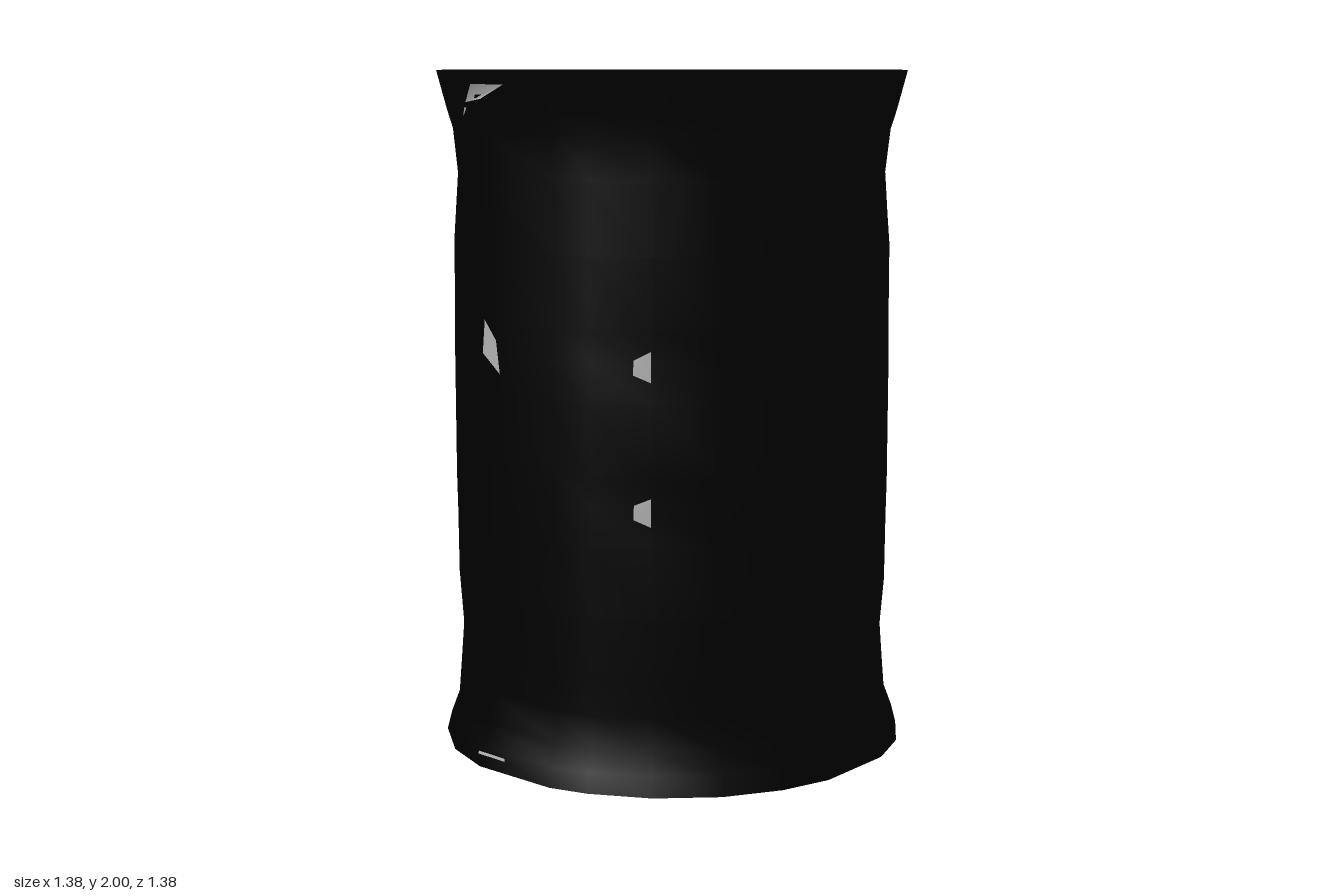
import * as THREE from 'three';
import { toCreasedNormals } from 'three/addons/utils/BufferGeometryUtils.js';

// Uneven facet angles (degrees from the front) for one half turn
const HALF_ANGLES = [2.3, 12.3, 27.8, 44, 59, 72.3, 95, 109.5, 125.3, 143, 158.4];
const ANGLES = [...HALF_ANGLES, ...HALF_ANGLES.map((a) => a + 180)];

// Outer wall: [radius, height] from the bottom rim to the top rim
const WALL = [
  [0.69, 0.005], [0.676, 0.06], [0.652, 0.125], [0.648, 0.22], [0.648, 0.34], [0.648, 0.5], [0.648, 0.7],
  [0.65, 0.8], [0.65, 0.9], [0.65, 1.1], [0.65, 1.2], [0.648, 1.3], [0.648, 1.5], [0.648, 1.7],
  [0.65, 1.83], [0.664, 1.885], [0.693, 1.998],
];
// Recessed ends with a shallow ring
const BOTTOM = [[0, 0.1], [0.25, 0.1], [0.265, 0.092], [0.28, 0.1], [0.6, 0.1], [0.615, 0.065], [0.665, 0]];
const TOP = [[0.67, 2], [0.615, 1.94], [0.6, 1.91], [0.29, 1.91], [0.28, 1.918], [0.265, 1.91], [0, 1.91]];

// Soft dents in the wall: [angle, angle spread, height, height spread, depth], repeated half a turn round
const DENTS = [
  [27.8, 8, 1.2, 0.1, 0.02], [27.8, 8, 0.8, 0.1, 0.02],
  [115, 22, 1.7, 0.11, 0.018], [115, 22, 0.34, 0.11, 0.016],
];
const dentDepth = (angle, y) => DENTS.reduce((sum, [a, da, h, dh, depth]) =>
  sum + depth * Math.exp(-((((angle % 180) - a) / da) ** 2) - ((y - h) / dh) ** 2), 0);

// Turn a profile, then move each column of vertices to its uneven angle
function turned(profile, name, material, dent = () => 0) {
  const geo = new THREE.LatheGeometry(profile.map(([r, y]) => new THREE.Vector2(r, y)), ANGLES.length);
  const pos = geo.attributes.position;
  for (let k = 0; k < pos.count; k++) {
    const angle = ANGLES[Math.floor(k / profile.length) % ANGLES.length];
    const a = THREE.MathUtils.degToRad(angle);
    const [r0, y] = profile[k % profile.length];
    const r = r0 - dent(angle, y);
    pos.setX(k, r * Math.sin(a));
    pos.setZ(k, r * Math.cos(a));
  }
  const mesh = new THREE.Mesh(toCreasedNormals(geo, 0.6), material);
  mesh.name = name;
  return mesh;
}

// Flat outline dropped onto the front of the wall
function chip(outline, name, material, wall) {
  const geo = new THREE.ShapeGeometry(new THREE.Shape(outline.map(([x, y]) => new THREE.Vector2(x, y))));
  const pos = geo.attributes.position;
  const inward = new THREE.Vector3(0, 0, -1);
  for (let k = 0; k < pos.count; k++) {
    const ray = new THREE.Raycaster(new THREE.Vector3(pos.getX(k), pos.getY(k), 2), inward);
    pos.setZ(k, ray.intersectObject(wall)[0].point.z + 0.012);
  }
  geo.computeVertexNormals();
  const mesh = new THREE.Mesh(geo, material);
  mesh.name = name;
  return mesh;
}

export function createModel() {
  const group = new THREE.Group();
  group.name = 'drum';
  const black = new THREE.MeshStandardMaterial({ color: 0x000000 });
  const bare = new THREE.MeshStandardMaterial({ color: 0xb0b0b0, side: THREE.DoubleSide });

  // Closed shell: bottom, wall and lid
  const wall = turned(WALL, 'wall', black, dentDepth);
  group.add(wall);
  group.add(turned([...BOTTOM, WALL[0]], 'bottomEnd', black));
  group.add(turned([WALL[WALL.length - 1], ...TOP], 'lid', black));

  // Bare chips found on both the front and the back
  const shared = {
    rimChip: [[-0.3, 1.91], [-0.22, 1.92], [-0.12, 1.96], [-0.25, 1.96]],
    rimScratch: [[-0.33, 1.87], [-0.3, 1.895], [-0.315, 1.895]],
    upperChip: [[0.25, 1.18], [0.295, 1.16], [0.295, 1.245], [0.25, 1.22]],
    lowerChip: [[0.25, 0.78], [0.295, 0.76], [0.295, 0.84], [0.25, 0.82]],
  };
  // Chips found on one side only
  const sides = {
    front: {
      frontChip: [[-0.245, 1.21], [-0.175, 1.155], [-0.19, 1.25], [-0.235, 1.305]],
      baseChip: [[-0.26, 0.042], [-0.15, 0.042], [-0.15, 0.05], [-0.26, 0.05]],
    },
    back: { baseChip: [[-0.3, 0.055], [-0.18, 0.042], [-0.25, 0.06], [-0.31, 0.085]] },
  };
  for (const [side, own] of Object.entries(sides)) {
    const set = new THREE.Group();
    set.name = `${side}Chips`;
    for (const [name, outline] of Object.entries({ ...shared, ...own })) set.add(chip(outline, name, bare, wall));
    if (side === 'back') set.rotation.y = Math.PI;
    group.add(set);
  }
  return group;
}
